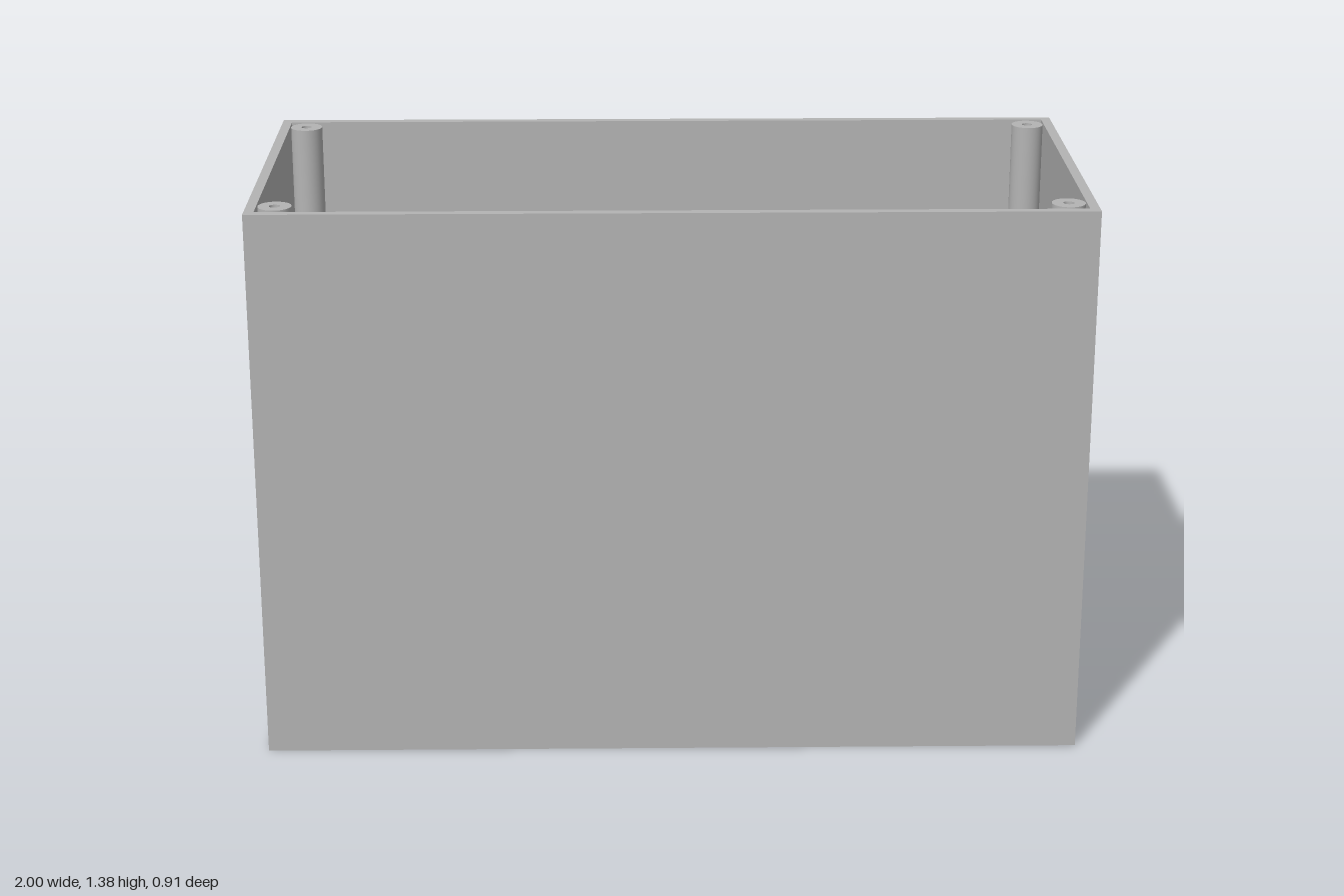
import * as THREE from 'three';

const W = 2, H = 1.375, D = 0.91, WALL = 0.024, FLOOR = 0.024;

// Rectangle centred on (x, z); shape y is -z so that extrusions can be laid flat
function rect(PathType, w, d, x = 0, z = 0) {
  const p = new PathType();
  p.moveTo(x - w / 2, -z - d / 2);
  p.lineTo(x + w / 2, -z - d / 2);
  p.lineTo(x + w / 2, -z + d / 2);
  p.lineTo(x - w / 2, -z + d / 2);
  p.closePath();
  return p;
}

// Extrude a plan shape upwards from y0 to y1
function extrudeUp(shape, y0, y1) {
  const g = new THREE.ExtrudeGeometry(shape, { depth: y1 - y0, bevelEnabled: false, curveSegments: 24 });
  g.rotateX(-Math.PI / 2);
  g.translate(0, y0, 0);
  return g;
}

export function createModel() {
  const group = new THREE.Group();
  group.name = 'openEnclosure';
  const grey = new THREE.MeshStandardMaterial({ color: 0xb4b4b4 });
  grey.name = 'grey plastic';
  const add = (geometry, name) => {
    const mesh = new THREE.Mesh(geometry, grey);
    mesh.name = name;
    group.add(mesh);
    return mesh;
  };

  // Four walls as one ring
  const walls = rect(THREE.Shape, W, D);
  walls.holes.push(rect(THREE.Path, W - 2 * WALL, D - 2 * WALL));
  add(extrudeUp(walls, 0, H), 'walls');

  // Floor with seven vent slots and a connector opening
  const floor = rect(THREE.Shape, W - 2 * WALL, D - 2 * WALL);
  for (let i = 0; i < 7; i++) {
    floor.holes.push(rect(THREE.Path, 0.04, 0.362, -0.598 + i * 0.1925, -0.144));
  }
  floor.holes.push(rect(THREE.Path, 0.2, 0.113, 0, 0.293));
  add(extrudeUp(floor, 0, FLOOR), 'ventedFloor');

  // Hollow screw posts in the corners: lathe runs up the outside and down the bore
  const R = 0.04, BORE = 0.013;
  const profile = [[R, FLOOR], [R, H], [R, H], [BORE, H], [BORE, H], [BORE, FLOOR]]
    .map(([r, y]) => new THREE.Vector2(r, y));
  for (const sx of [-1, 1]) {
    for (const sz of [-1, 1]) {
      const parts = [[0, 2], [2, 4], [4, 6]];
      const post = new THREE.Group();
      post.name = (sz > 0 ? 'front' : 'back') + (sx > 0 ? 'Left' : 'Right') + 'ScrewPost';
      parts.forEach(([a, b], i) => {
        const mesh = new THREE.Mesh(new THREE.LatheGeometry(profile.slice(a, b), 32), grey);
        mesh.name = ['postOutside', 'postTop', 'screwBore'][i];
        post.add(mesh);
      });
      post.position.set(sx * 0.933, 0, sz * 0.38);
      group.add(post);
    }
  }
  return group;
}
